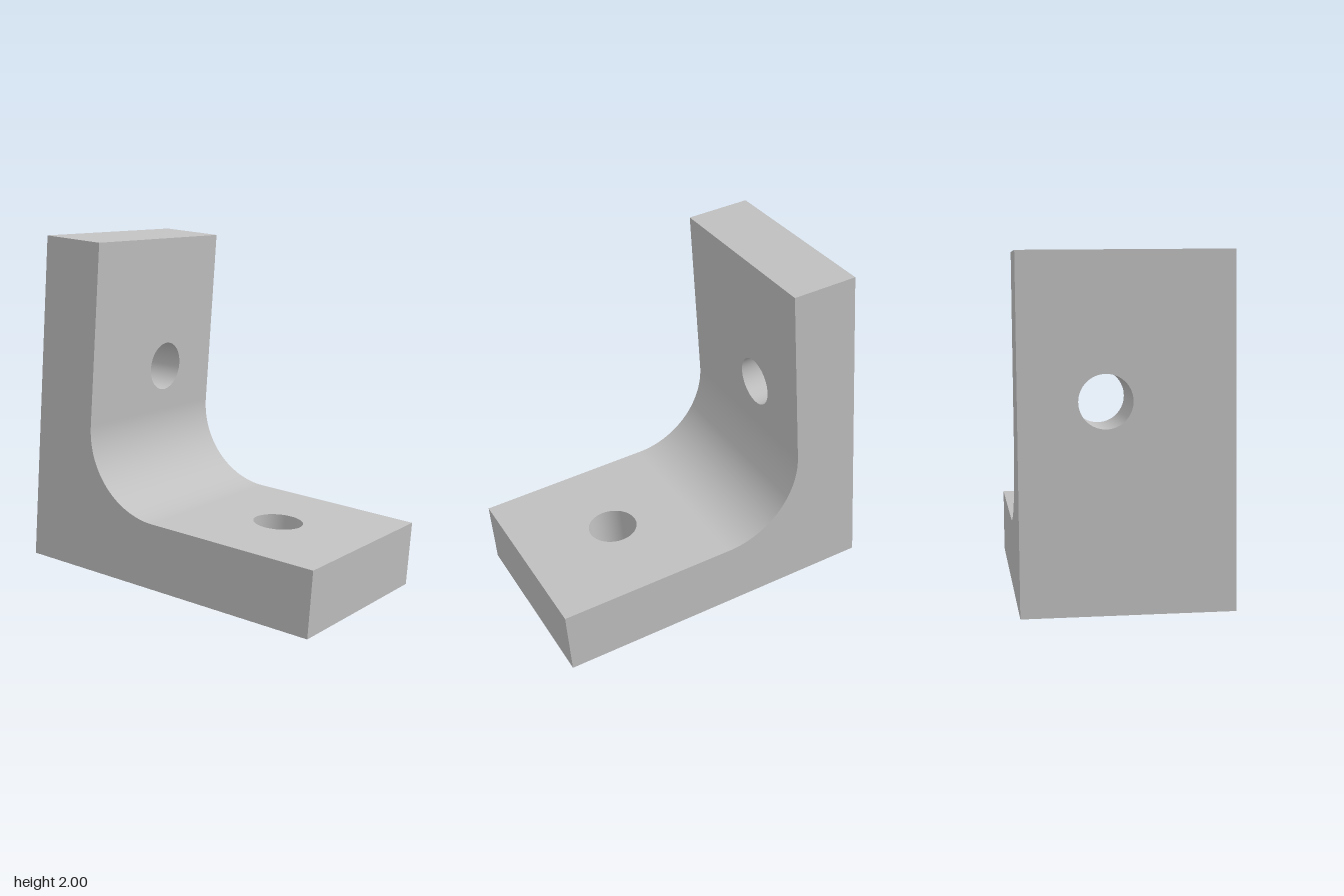
import * as THREE from 'three';
import { toCreasedNormals } from 'three/addons/utils/BufferGeometryUtils.js';

const L = 1.856;          // leg length
const T = L / 5;          // plate thickness
const R = L / 4;          // inner fillet radius
const W = 1.114;          // bracket width
const HOLE = 0.14;        // bolt hole radius
const JOIN = T + R;       // where the fillet meets the flat legs
const TILT = 0.081;

const steel = new THREE.MeshStandardMaterial({ color: 0xc0c0c0 });
steel.name = 'plain grey steel';

// Remove the hidden faces at the joins, then smooth only the curved surfaces
function finish(geometry) {
  const p = geometry.attributes.position;
  const kept = [];
  const onPlane = (i, axis) => [0, 1, 2].every(
    k => Math.abs(p.getComponent(i + k, axis) - JOIN) < 1e-4);
  for (let i = 0; i < p.count; i += 3) {
    if (onPlane(i, 0) || onPlane(i, 1)) continue;
    for (let k = 0; k < 3; k++) kept.push(p.getX(i + k), p.getY(i + k), p.getZ(i + k));
  }
  const out = new THREE.BufferGeometry();
  out.setAttribute('position', new THREE.Float32BufferAttribute(kept, 3));
  return toCreasedNormals(out, Math.PI / 6);
}

function addPart(group, name, geometry) {
  const mesh = new THREE.Mesh(finish(geometry), steel);
  mesh.name = name;
  group.add(mesh);
}

// Rectangular plate with a round bolt hole, extruded through its thickness
function plate(x0, y0, x1, y1, holeX, holeY) {
  const shape = new THREE.Shape();
  shape.moveTo(x0, y0).lineTo(x1, y0).lineTo(x1, y1).lineTo(x0, y1).closePath();
  const hole = new THREE.Path();
  hole.absarc(holeX, holeY, HOLE, 0, Math.PI * 2, true);
  shape.holes.push(hole);
  return new THREE.ExtrudeGeometry(shape, { depth: T, bevelEnabled: false, curveSegments: 32 });
}

export function createModel() {
  const model = new THREE.Group();
  model.name = 'angleBracket';

  // Filleted corner between the two legs
  const profile = new THREE.Shape();
  profile.moveTo(0, 0).lineTo(JOIN, 0).lineTo(JOIN, T);
  profile.absarc(JOIN, JOIN, R, -Math.PI / 2, -Math.PI, true);
  profile.lineTo(0, JOIN).closePath();
  const corner = new THREE.ExtrudeGeometry(profile, { depth: W, bevelEnabled: false, curveSegments: 32 });
  addPart(model, 'filletCorner', corner.translate(0, 0, -W / 2));

  // Horizontal leg with a centred hole
  addPart(model, 'baseLeg', plate(JOIN, -W / 2, L, W / 2, 1.298, 0).rotateX(-Math.PI / 2));

  // Upright leg with its hole set towards the back
  addPart(model, 'uprightLeg', plate(-W / 2, JOIN, W / 2, L, 0.11, 1.097).rotateY(Math.PI / 2));

  // The whole bracket leans, resting on the end of its base
  model.rotation.z = -TILT;
  model.position.set(-0.94, L * Math.sin(TILT), 0);
  const root = new THREE.Group();
  root.name = 'bracket';
  root.add(model);
  return root;
}
